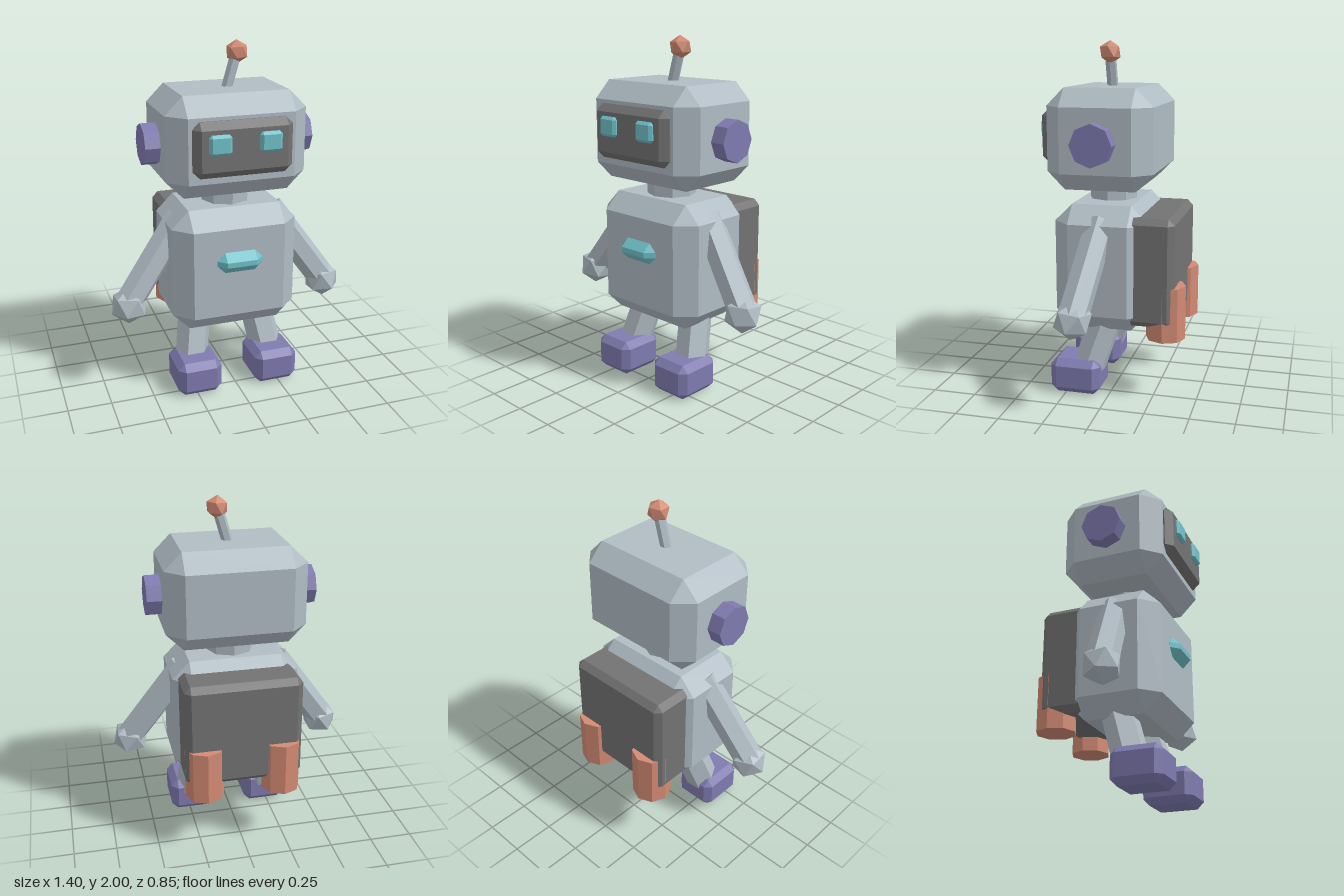
import * as THREE from 'three';
import { ConvexGeometry } from 'three/addons/geometries/ConvexGeometry.js';

const material = (name, color) => {
  const m = new THREE.MeshStandardMaterial({ color });
  m.name = name;
  return m;
};

export function createModel() {
  const robot = new THREE.Group();
  robot.name = 'robot';
  const steel = material('pale steel', 0xb0bcc4);
  const dark = material('dark grey', 0x747373);
  const purple = material('purple', 0x7f7bb0);
  const teal = material('teal', 0x70c2ca);
  const copper = material('copper', 0xd38b74);

  const add = (name, geometry, mat, x = 0, y = 0, z = 0) => {
    const flat = geometry.index ? geometry.toNonIndexed() : geometry;
    flat.computeVertexNormals();
    const mesh = new THREE.Mesh(flat, mat);
    mesh.name = name;
    mesh.position.set(x, y, z);
    robot.add(mesh);
    return mesh;
  };

  // Box with every edge and corner cut at 45 degrees
  const chamferBox = (w, h, d, c) => {
    const points = [];
    for (const sx of [-1, 1]) for (const sy of [-1, 1]) for (const sz of [-1, 1]) {
      for (let axis = 0; axis < 3; axis++) {
        const cut = [c, c, c];
        cut[axis] = 0;
        points.push(new THREE.Vector3(
          sx * (w / 2 - cut[0]), sy * (h / 2 - cut[1]), sz * (d / 2 - cut[2])));
      }
    }
    return new ConvexGeometry(points);
  };

  // Six-sided rod running between two points
  const rod = (name, mat, from, to, radius) => {
    const a = new THREE.Vector3(...from), b = new THREE.Vector3(...to);
    const dir = b.clone().sub(a);
    const geometry = new THREE.CylinderGeometry(radius, radius, dir.length(), 6, 1, false, Math.PI / 6);
    const mesh = add(name, geometry, mat);
    mesh.position.copy(a).add(b).multiplyScalar(0.5);
    mesh.quaternion.setFromUnitVectors(new THREE.Vector3(0, 1, 0), dir.normalize());
    return mesh;
  };

  // Head and face
  add('head', chamferBox(0.8, 0.56, 0.6, 0.1), steel, 0, 1.47, 0.05);
  add('facePlate', chamferBox(0.56, 0.305, 0.1, 0.04), dark, 0, 1.478, 0.347);
  add('neck', new THREE.CylinderGeometry(0.14, 0.14, 0.2, 8), steel, 0, 1.15, 0.05);

  // Antenna
  rod('antennaRod', steel, [-0.005, 1.69, 0.05], [0.065, 1.93, 0.05], 0.032);
  add('antennaBall', new THREE.IcosahedronGeometry(0.065), copper, 0.068, 1.935, 0.05).rotation.z = -0.5;

  // Torso, chest light and backpack
  add('torso', chamferBox(0.735, 0.72, 0.54, 0.1), steel, 0, 0.745, 0.05);
  add('chestLight', chamferBox(0.265, 0.12, 0.1, 0.045), teal, 0, 0.812, 0.317);
  add('backpack', chamferBox(0.675, 0.62, 0.28, 0.035), dark, 0, 0.74, -0.233);

  // Paired parts
  for (const [side, s] of [['left', 1], ['right', -1]]) {
    add(side + 'Eye', chamferBox(0.125, 0.11, 0.06, 0.015), teal, s * 0.14, 1.512, 0.39);
    add(side + 'Ear', new THREE.CylinderGeometry(0.117, 0.117, 0.12, 8), purple, s * 0.425, 1.458, 0.05)
      .rotation.z = Math.PI / 2;

    const arm = rod(side + 'Arm', steel, [s * 0.61, 0.54, 0.12], [s * 0.275, 1.01, 0.05], 0.085);
    add(side + 'Hand', new THREE.IcosahedronGeometry(0.11), steel, s * 0.6, 0.54, 0.12)
      .quaternion.copy(arm.quaternion);

    rod(side + 'Leg', steel, [s * 0.238, 0.14, 0.135], [s * 0.18, 0.47, 0.03], 0.1);
    add(side + 'Foot', chamferBox(0.26, 0.203, 0.29, 0.038), purple, s * 0.234, 0.1015, 0.195);

    add(side + 'Thruster', new THREE.CylinderGeometry(0.113, 0.113, 0.31, 8), copper, s * 0.225, 0.505, -0.312);
  }
  return robot;
}
